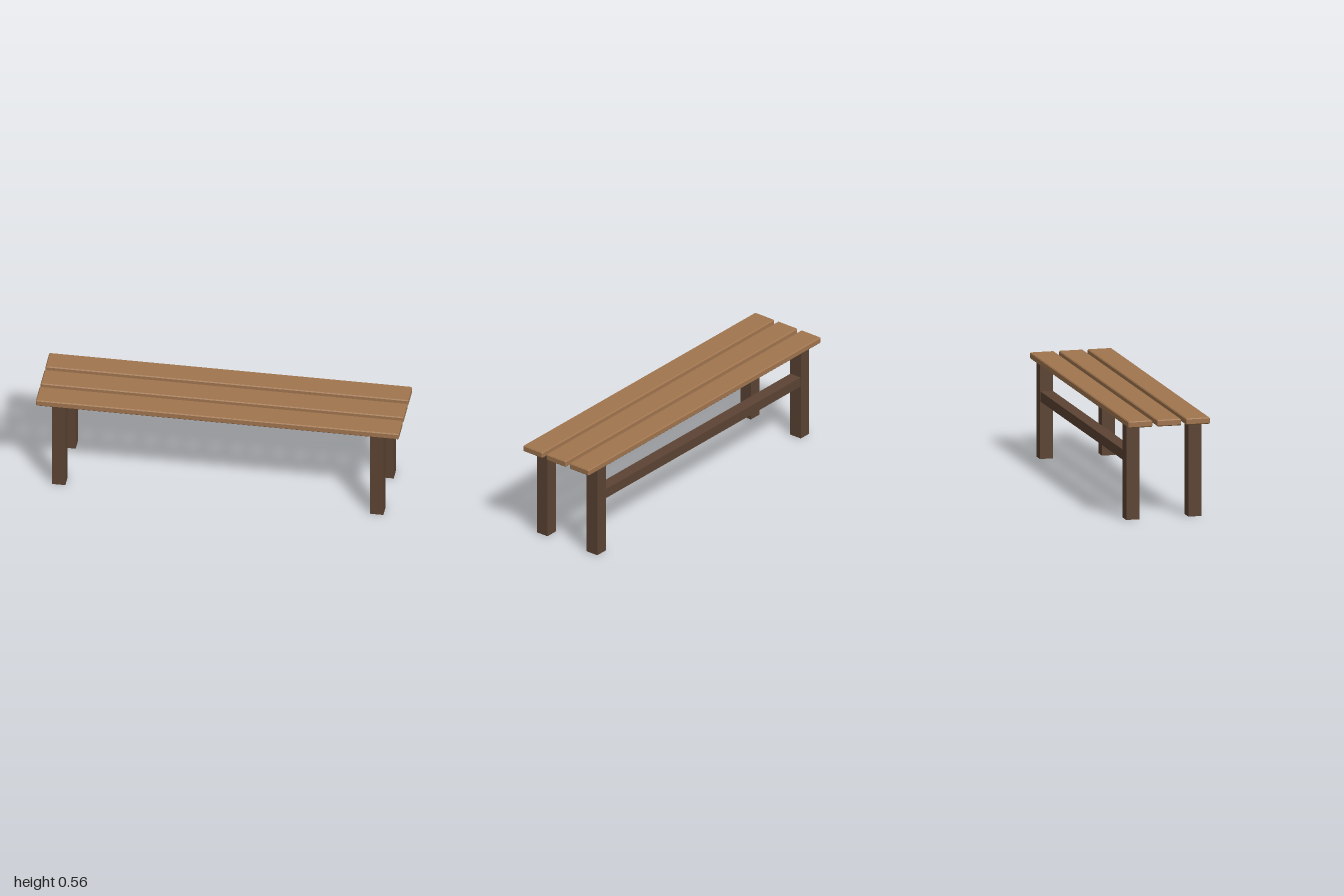
import * as THREE from 'three';
import { ConvexGeometry } from 'three/addons/geometries/ConvexGeometry.js';

// Box with every edge chamfered by c
function chamferedBox(w, h, d, c) {
  const points = [];
  for (const sx of [-1, 1]) for (const sy of [-1, 1]) for (const sz of [-1, 1]) {
    const x = w / 2, y = h / 2, z = d / 2;
    points.push(
      new THREE.Vector3(sx * x, sy * (y - c), sz * (z - c)),
      new THREE.Vector3(sx * (x - c), sy * y, sz * (z - c)),
      new THREE.Vector3(sx * (x - c), sy * (y - c), sz * z));
  }
  return new ConvexGeometry(points);
}

export function createModel() {
  const bench = new THREE.Group();
  bench.name = 'bench';

  const seatWood = new THREE.MeshStandardMaterial({ color: 0xa0754e });
  seatWood.name = 'light wood';
  const frameWood = new THREE.MeshStandardMaterial({ color: 0x5c4434 });
  frameWood.name = 'dark wood';

  const add = (name, geometry, material, x, y, z) => {
    const mesh = new THREE.Mesh(geometry, material);
    mesh.name = name;
    mesh.position.set(x, y, z);
    bench.add(mesh);
  };

  // Three seat planks
  const plank = chamferedBox(2, 0.036, 0.136, 0.005);
  [['frontPlank', 0.163], ['middlePlank', 0.001], ['backPlank', -0.162]]
    .forEach(([name, z]) => add(name, plank, seatWood, 0, 0.544, z));

  // Four square legs
  const leg = new THREE.BoxGeometry(0.073, 0.528, 0.074);
  for (const [side, x] of [['Left', 0.875], ['Right', -0.877]]) {
    add(`front${side}Leg`, leg, frameWood, x, 0.264, 0.169);
    add(`back${side}Leg`, leg, frameWood, x, 0.264, -0.181);
  }

  // Stretcher between the back legs
  add('backRail', new THREE.BoxGeometry(1.69, 0.056, 0.07), frameWood, 0, 0.347, -0.181);

  return bench;
}
